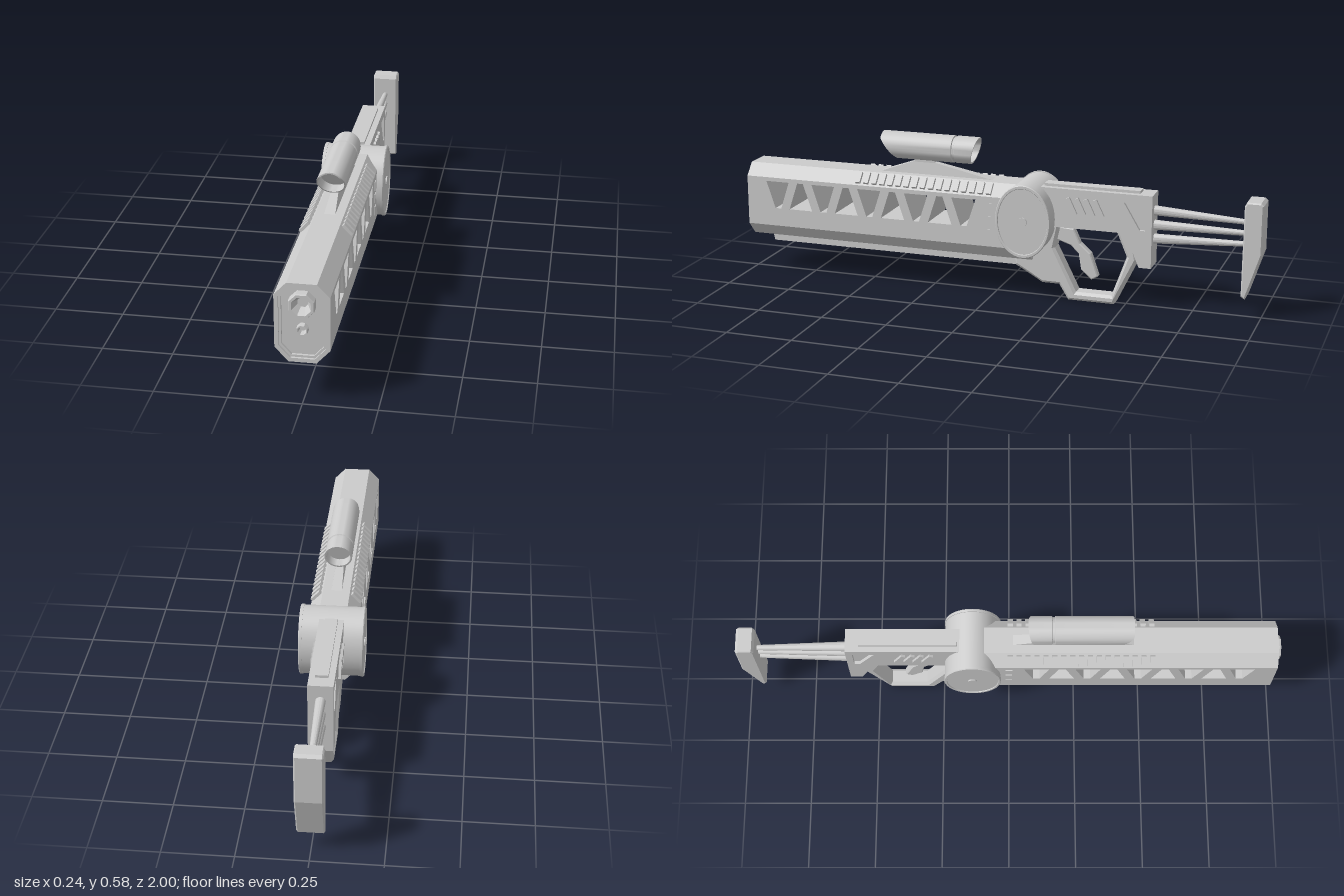
import * as THREE from 'three';
import { toCreasedNormals } from 'three/addons/utils/BufferGeometryUtils.js';

const material = new THREE.MeshStandardMaterial({ color: 0xcccccc, side: THREE.DoubleSide });

export function createModel() {
  const model = new THREE.Group();

  const add = (name, geometry, x = 0, y = 0, z = 0) => {
    const mesh = new THREE.Mesh(geometry, material);
    mesh.name = name;
    mesh.position.set(x, y, z);
    model.add(mesh);
    return mesh;
  };
  const shapeOf = (points, holes = []) => {
    const shape = new THREE.Shape(points.map(p => new THREE.Vector2(...p)));
    shape.holes = holes.map(h => new THREE.Path(h.map(p => new THREE.Vector2(...p))));
    return shape;
  };
  // Side outline of [z, y] points, extruded across x and centred
  const sidePlate = (points, width, holes = [], bevel = 0) => {
    const g = new THREE.ExtrudeGeometry(shapeOf(points, holes), {
      depth: width - 2 * bevel, bevelEnabled: bevel > 0, bevelSegments: 1,
      bevelSize: bevel, bevelThickness: bevel, bevelOffset: -bevel,
    });
    return g.translate(0, 0, -(width - 2 * bevel) / 2).rotateY(-Math.PI / 2);
  };
  // Cross-section of [x, y] points, extruded from z0 to z1
  const prism = (points, z0, z1, holes) =>
    new THREE.ExtrudeGeometry(shapeOf(points, holes), { depth: z1 - z0, bevelEnabled: false }).translate(0, 0, z0);
  const lathe = (points, segments) =>
    new THREE.LatheGeometry(points.map(p => new THREE.Vector2(...p)), segments);

  // Barrel housing: a slab with alternating window cut-outs, closed by chamfered caps
  const windows = [];
  for (let i = 0; i < 9; i++) {
    const c = 0.858 - i * 0.0945;
    const [top, bottom] = i % 2 ? [0.012, 0.047] : [0.047, 0.012];
    windows.push([[c - bottom, 0.27], [c + bottom, 0.27], [c + top, 0.375], [c - top, 0.375]]);
  }
  const rear = -0.15, front = 0.965;
  add('barrelHousing', sidePlate([[rear, 0.2], [front, 0.2], [front, 0.39], [rear, 0.39]], 0.184, windows));
  add('housingTop', prism([[-0.092, 0.39], [0.092, 0.39], [0.05, 0.435], [-0.05, 0.435]], rear, front));
  add('housingBottom', prism([[-0.046, 0.15], [0.046, 0.15], [0.092, 0.2], [-0.092, 0.2]], rear, front));

  // Front rim with two steps around the recessed face
  const octagon = d => [
    [-0.046 + d * 0.4, 0.15 + d], [0.046 - d * 0.4, 0.15 + d], [0.092 - d, 0.2 + d * 0.4], [0.092 - d, 0.39 - d * 0.4],
    [0.05 - d * 0.4, 0.435 - d], [-0.05 + d * 0.4, 0.435 - d], [-0.092 + d, 0.39 - d * 0.4], [-0.092 + d, 0.2 + d * 0.4]];
  add('frontRim', prism(octagon(0), front, 0.985, [octagon(0.014)]));
  add('frontStep', prism(octagon(0.014), front, 0.977, [octagon(0.022)]));

  // Eight-sided muzzles
  const muzzle = (name, r, y, z) => {
    const g = lathe([[0, -0.04], [r * 0.35, -0.04], [r * 0.75, 0], [r * 0.95, 0], [r, -0.006], [r, -0.05]], 8);
    g.rotateY(Math.PI / 8).rotateX(Math.PI / 2);
    add(name, toCreasedNormals(g, 0.3), 0, y, z);
  };
  muzzle('mainMuzzle', 0.046, 0.36, 1.0);
  muzzle('smallMuzzle', 0.02, 0.268, 0.99);
  // Short sockets hide the muzzle roots
  add('frontFace', prism(octagon(0.01), front, 0.968, [
    [...Array(8).keys()].map(i => [0.04 * Math.cos((i + 0.5) * Math.PI / 4), 0.36 + 0.04 * Math.sin((i + 0.5) * Math.PI / 4)])]));

  // Cooling ribs along the upper chamfers, and thin side panels by the drum
  for (const s of [-1, 1]) {
    for (let i = 0; i < 17; i++) {
      const rib = add('coolingRib', new THREE.BoxGeometry(0.046, 0.02, 0.019), s * 0.072, 0.413, 0.525 - i * 0.0325);
      rib.rotation.z = -s * 0.82;
    }
    for (const y of [0.25, 0.3, 0.35])
      add('sidePanel', new THREE.BoxGeometry(0.006, 0.034, 0.025), s * 0.092, y, 0.0);
  }

  // Underside rail
  add('underRail', sidePlate([[0.91, 0.12], [0.92, 0.16], [-0.15, 0.16], [-0.15, 0.085], [-0.08, 0.12]], 0.05));

  // Elliptical drum across the body
  const half = [[0.138, 0.106], [0.138, 0.115], [0.135, 0.118], [0.126, 0.118], [0.124, 0.115], [0, 0.115]];
  const drumProfile = [...half.slice().reverse().map(([r, h]) => [r, -h]), [0.135, -0.106], [0.135, 0.106], ...half];
  const drum = lathe(drumProfile, 48).rotateZ(Math.PI / 2).scale(1, 1, 0.76);
  add('drum', toCreasedNormals(drum, 0.5), 0, 0.3125, -0.134);
  const hub = new THREE.CylinderGeometry(0.017, 0.017, 0.24, 16).rotateZ(Math.PI / 2);
  add('drumHub', toCreasedNormals(hub, 0.5), 0, 0.3125, -0.134);

  // Receiver with recessed rear pockets
  const pocket = [[-0.495, 0.4], [-0.575, 0.4], [-0.575, 0.3], [-0.555, 0.3]];
  add('receiver', sidePlate([[-0.1, 0.432], [-0.6, 0.432], [-0.6, 0.16], [-0.555, 0.16],
    [-0.53, 0.22], [-0.5, 0.285], [-0.24, 0.285], [-0.1, 0.2]], 0.09, [pocket]));
  add('pocketFloor', sidePlate(pocket, 0.066));
  add('receiverRail', new THREE.BoxGeometry(0.046, 0.02, 0.36), 0, 0.432, -0.37);
  for (let i = 0; i < 4; i++) {
    const slat = add('receiverSlat', new THREE.BoxGeometry(0.108, 0.068, 0.016), 0, 0.37, -0.3 - i * 0.034);
    slat.rotation.x = 0.45;
  }

  // Closed grip frame and trigger
  add('gripFrame', sidePlate(
    [[-0.07, 0.2], [-0.08, 0.12], [-0.185, 0.06], [-0.25, 0.06], [-0.285, 0.003], [-0.46, 0.003],
      [-0.545, 0.18], [-0.52, 0.31], [-0.07, 0.31]], 0.066,
    [[[-0.25, 0.285], [-0.465, 0.285], [-0.505, 0.19], [-0.45, 0.036], [-0.315, 0.036], [-0.232, 0.2]]], 0.01));
  add('trigger', sidePlate([[-0.23, 0.28], [-0.3, 0.275], [-0.325, 0.22], [-0.365, 0.185], [-0.395, 0.1],
    [-0.37, 0.085], [-0.33, 0.12], [-0.32, 0.18], [-0.29, 0.21], [-0.23, 0.23]], 0.03, [], 0.004));

  // Tapered stock rods and butt plate
  [[0.37, 0.355], [0.315, 0.315], [0.262, 0.275]].forEach(([y0, y1]) => {
    const length = Math.hypot(0.38, y1 - y0);
    const rod = add('stockRod', toCreasedNormals(new THREE.CylinderGeometry(0.009, 0.019, length, 16), 0.5),
      0, (y0 + y1) / 2, -0.765);
    rod.rotation.x = -Math.PI / 2 + Math.atan2(y0 - y1, 0.38) * -1;
  });
  add('buttPlate', sidePlate([[-0.932, 0.425], [-0.94, 0.44], [-0.99, 0.44], [-1, 0.43], [-1, 0.25],
    [-0.945, 0.08], [-0.93, 0.09]], 0.098, [], 0.005));

  // Scope mount, narrowing upward
  const mount = sidePlate([[0.465, 0.432], [0.33, 0.48], [0.24, 0.48], [0, 0.432]], 0.04);
  const pos = mount.attributes.position;
  for (let i = 0; i < pos.count; i++) pos.setX(i, pos.getX(i) * (1 - (pos.getY(i) - 0.432) * 8.5));
  mount.computeVertexNormals();
  add('scopeMount', mount);
  add('scopeNeck', new THREE.BoxGeometry(0.024, 0.03, 0.08), 0, 0.485, 0.285);

  // Scope tube with slanted hollow ends; the lens faces sit inside
  const scope = lathe([[0, 0.12], [0.043, 0.12], [0.045, 0.075], [0.051, 0.075], [0.051, 0.155], [0.047, 0.157],
    [0.047, 0.165], [0.051, 0.167], [0.051, 0.44], [0.046, 0.44], [0.045, 0.38], [0, 0.38]], 32).rotateX(Math.PI / 2);
  const sp = scope.attributes.position;
  for (let i = 0; i < sp.count; i++) {
    const drop = 0.051 - sp.getY(i), z = sp.getZ(i);
    if (z > 0.3) sp.setZ(i, z + 0.01 - Math.max(0, drop - 0.02) * 0.75);
    else if (z < 0.13) sp.setZ(i, z - 0.005 + drop * 0.28);
  }
  add('scopeTube', toCreasedNormals(scope, 0.5), 0, 0.537, 0);

  return model;
}
